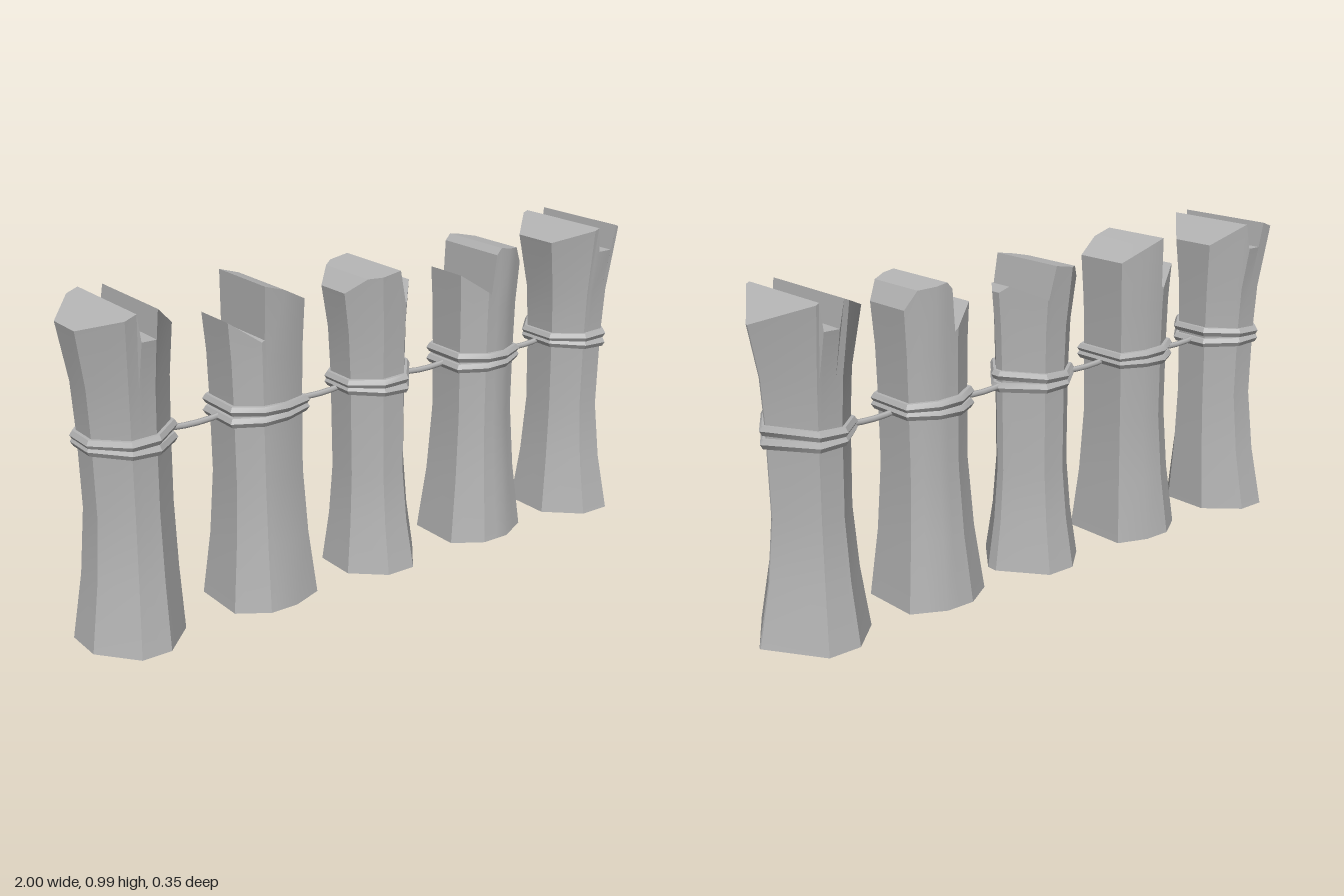
import * as THREE from 'three';
import { toCreasedNormals } from 'three/addons/utils/BufferGeometryUtils.js';

// Straight-sided notch through the crown, as [u, y] with u across from -1 to 1
const slot = u => [[-1, 0.94], [u - 0.04, 0.99], [u + 0.04, 0.91], [u + 0.37, 0.91], [u + 0.45, 0.99], [1, 0.92]];

// base, waist and crown are [xLeft, xRight, halfDepth]; ends are the end facet widths
const POSTS = [
  { base: [-1, -0.713, 0.175], waist: [-0.952, -0.722, 0.126], crown: [-0.99, -0.71, 0.17],
    waistY: 0.4, ends: [0.35, 0.45], top: slot(-0.06) },
  { base: [-0.555, -0.275, 0.15], waist: [-0.52, -0.302, 0.112], crown: [-0.54, -0.29, 0.122],
    waistY: 0.4, ends: [0.6, 0.75],
    top: [[-1, 0.885], [-0.35, 0.825], [-0.27, 0.83], [-0.22, 0.985], [0.3, 0.965], [1, 0.92]] },
  { base: [-0.13, 0.165, 0.155], waist: [-0.1, 0.128, 0.114], crown: [-0.135, 0.147, 0.135],
    waistY: 0.32, ends: [0.45, 0.12],
    top: [[-1, 0.9], [-0.6, 0.945], [0.1, 0.962], [0.27, 0.86], [0.85, 0.9], [1, 0.88]] },
  { base: [0.27, 0.557, 0.15], waist: [0.31, 0.523, 0.112], crown: [0.3, 0.54, 0.125],
    waistY: 0.42, ends: [0.6, 0.65],
    top: [[-1, 0.89], [-0.25, 0.825], [-0.15, 0.95], [0, 0.97], [0.7, 0.955], [1, 0.9]] },
  { base: [0.68, 1, 0.175], waist: [0.715, 0.94, 0.126], crown: [0.675, 0.987, 0.17],
    waistY: 0.37, ends: [0.45, 0.02], top: slot(-0.21) },
];

const mix = (a, b, k) => a.map((v, i) => v + (b[i] - v) * k);

// Linear lookup in rows sorted by their first entry
function lookup(rows, t) {
  let i = 0;
  while (i < rows.length - 2 && t > rows[i + 1][0]) i++;
  const a = rows[i], b = rows[i + 1];
  return mix(a, b, THREE.MathUtils.clamp((t - a[0]) / (b[0] - a[0]), 0, 1));
}

// Half outline [u, w], mirrored front to back
const section = ({ ends }) => [[-1, ends[0]], [-0.35, 1], [0.3, 1], [1, ends[1]]];

// Flared foot, narrow waist, then a crown that opens again: [y, xLeft, xRight, halfDepth]
function levels({ base, waist, crown, waistY }) {
  return [
    [0, ...base],
    [waistY / 2, ...mix(base, waist, 0.65)],
    [waistY, ...waist],
    [0.62, ...mix(waist, crown, 0.1)],
    [0.77, ...mix(waist, crown, 0.3)],
    [0.94, ...crown],
  ];
}

// Point on a post's skin; side is 1 for front, -1 for back
function skin(post, u, side, y, grow = 0) {
  const [, x0, x1, depth] = lookup(levels(post), y);
  const w = lookup(section(post), u)[1];
  return [(x0 + x1) / 2 + u * ((x1 - x0) / 2 + grow), y, side * w * (depth + grow)];
}

function fromQuads(quads, crease) {
  const pos = [];
  for (const [a, b, c, d] of quads) pos.push(...a, ...b, ...c, ...a, ...c, ...d);
  const geo = new THREE.BufferGeometry();
  geo.setAttribute('position', new THREE.Float32BufferAttribute(pos, 3));
  return toCreasedNormals(geo, crease);
}

function postGeometry(post) {
  const us = [...new Set([...section(post), ...post.top].map(p => p[0]))].sort((a, b) => a - b);
  const heights = levels(post).map(l => l[0]);
  const n = us.length - 1, t = heights.length - 1, quads = [];
  const column = (u, side) => heights.map((y, j) =>
    skin(post, u, side, j < t ? y : lookup(post.top, u)[1]));
  const front = us.map(u => column(u, 1));
  const back = us.map(u => column(u, -1));
  for (let i = 0; i < n; i++) {
    for (let j = 0; j < t; j++) {
      quads.push([front[i][j], front[i + 1][j], front[i + 1][j + 1], front[i][j + 1]]);
      quads.push([back[i + 1][j], back[i][j], back[i][j + 1], back[i + 1][j + 1]]);
    }
    // broken top and flat base
    quads.push([front[i][t], front[i + 1][t], back[i + 1][t], back[i][t]]);
    quads.push([back[i][0], back[i + 1][0], front[i + 1][0], front[i][0]]);
  }
  // left and right end facets
  for (let j = 0; j < t; j++) {
    quads.push([front[n][j], back[n][j], back[n][j + 1], front[n][j + 1]]);
    quads.push([back[0][j], front[0][j], front[0][j + 1], back[0][j + 1]]);
  }
  return fromQuads(quads, 0.5);
}

// Rope loop that hugs the post's outline
function loopGeometry(post, y, tilt) {
  const us = section(post).map(p => p[0]);
  const outline = [...us.map(u => [u, 1]), ...us.slice().reverse().map(u => [u, -1])];
  const profile = [[-0.01, -0.015], [0.01, -0.014], [0.018, 0], [0.01, 0.014], [-0.01, 0.015]];
  const rings = outline.map(([u, side]) => profile.map(([grow, dy]) => {
    const p = skin(post, u, side, y, grow);
    return [p[0], y + dy + tilt * u, p[2]];
  }));
  const quads = [];
  rings.forEach((a, k) => {
    const b = rings[(k + 1) % rings.length];
    for (let p = 0; p < profile.length - 1; p++) quads.push([a[p], b[p], b[p + 1], a[p + 1]]);
  });
  return fromQuads(quads, 0.6);
}

export function createModel() {
  const model = new THREE.Group();
  model.name = 'ropedPostFence';
  const grey = new THREE.MeshStandardMaterial({ color: 0xb4b4b4 });
  grey.name = 'plain grey';
  const add = (name, geo) => {
    const mesh = new THREE.Mesh(geo, grey);
    mesh.name = name;
    model.add(mesh);
  };

  POSTS.forEach((post, i) => {
    const tilt = i % 2 ? 0.004 : -0.005;
    add(`post${i + 1}`, postGeometry(post));
    add(`lowerRopeLoop${i + 1}`, loopGeometry(post, 0.592, tilt));
    add(`upperRopeLoop${i + 1}`, loopGeometry(post, 0.62, -tilt));

    // Slack rope to the next post
    const next = POSTS[i + 1];
    if (!next) return;
    const x0 = post.waist[1] - 0.01, x1 = next.waist[0] + 0.01;
    const path = new THREE.QuadraticBezierCurve3(
      new THREE.Vector3(x0, 0.594, -0.005),
      new THREE.Vector3((x0 + x1) / 2, 0.574, -0.005),
      new THREE.Vector3(x1, 0.594, -0.005));
    add(`spanRope${i + 1}`, new THREE.TubeGeometry(path, 5, 0.009, 6));
  });
  return model;
}
